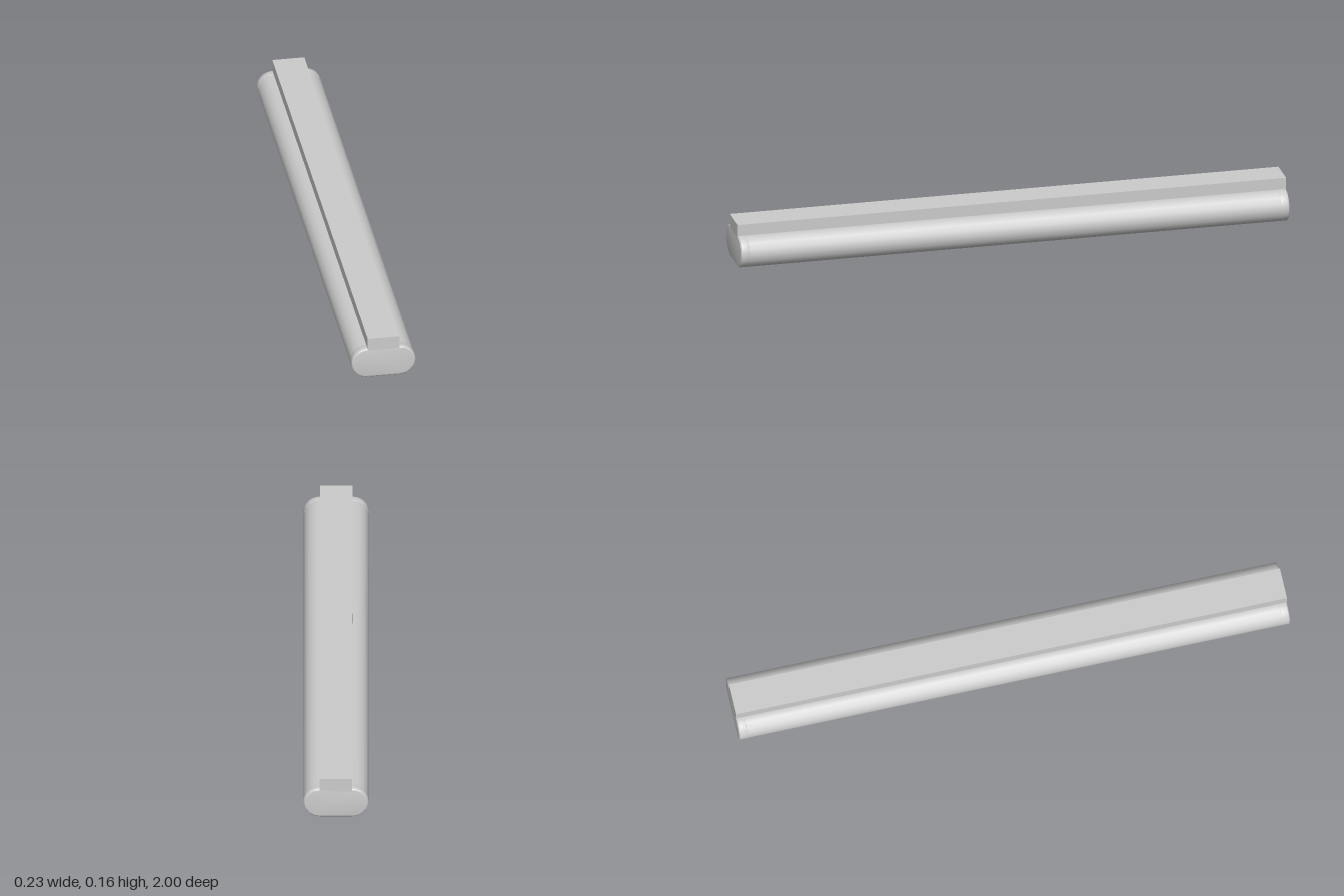
import * as THREE from 'three';
import { toCreasedNormals } from 'three/addons/utils/BufferGeometryUtils.js';

const R = 0.0575;       // tube radius, also half the tube spacing
const CAP = 0.035;      // end cap thickness
const BEVEL = 0.006;

export function createModel() {
  const group = new THREE.Group();
  const material = new THREE.MeshStandardMaterial({ color: 0xcccccc });
  const add = (name, geometry, x, y, z) => {
    const mesh = new THREE.Mesh(geometry, material);
    mesh.name = name;
    mesh.position.set(x, y, z);
    group.add(mesh);
    return mesh;
  };

  // Rectangular housing running the full length above the tubes
  add('housing', new THREE.BoxGeometry(2 * R, 0.052, 2), 0, 0.131, 0);

  // Two parallel tubes touching at the centre line
  const tube = new THREE.CylinderGeometry(R, R, 2 - CAP, 16, 1, true).rotateX(Math.PI / 2);
  add('leftTube', tube, R, R, 0);
  add('rightTube', tube, -R, R, 0);

  // Stadium-shaped end caps enclosing both tube ends, with softened rims
  const r = R - BEVEL;
  const outline = new THREE.Shape();
  outline.absarc(R, 0, r, -Math.PI / 2, Math.PI / 2, false);
  outline.absarc(-R, 0, r, Math.PI / 2, 1.5 * Math.PI, false);
  outline.closePath();
  const cap = toCreasedNormals(new THREE.ExtrudeGeometry(outline, {
    depth: CAP - 2 * BEVEL, curveSegments: 8,
    bevelSize: BEVEL, bevelThickness: BEVEL, bevelSegments: 3,
  }).translate(0, 0, BEVEL), 0.7);
  add('frontCap', cap, 0, R, 1 - CAP);
  add('backCap', cap, 0, R, -1);

  return group;
}
